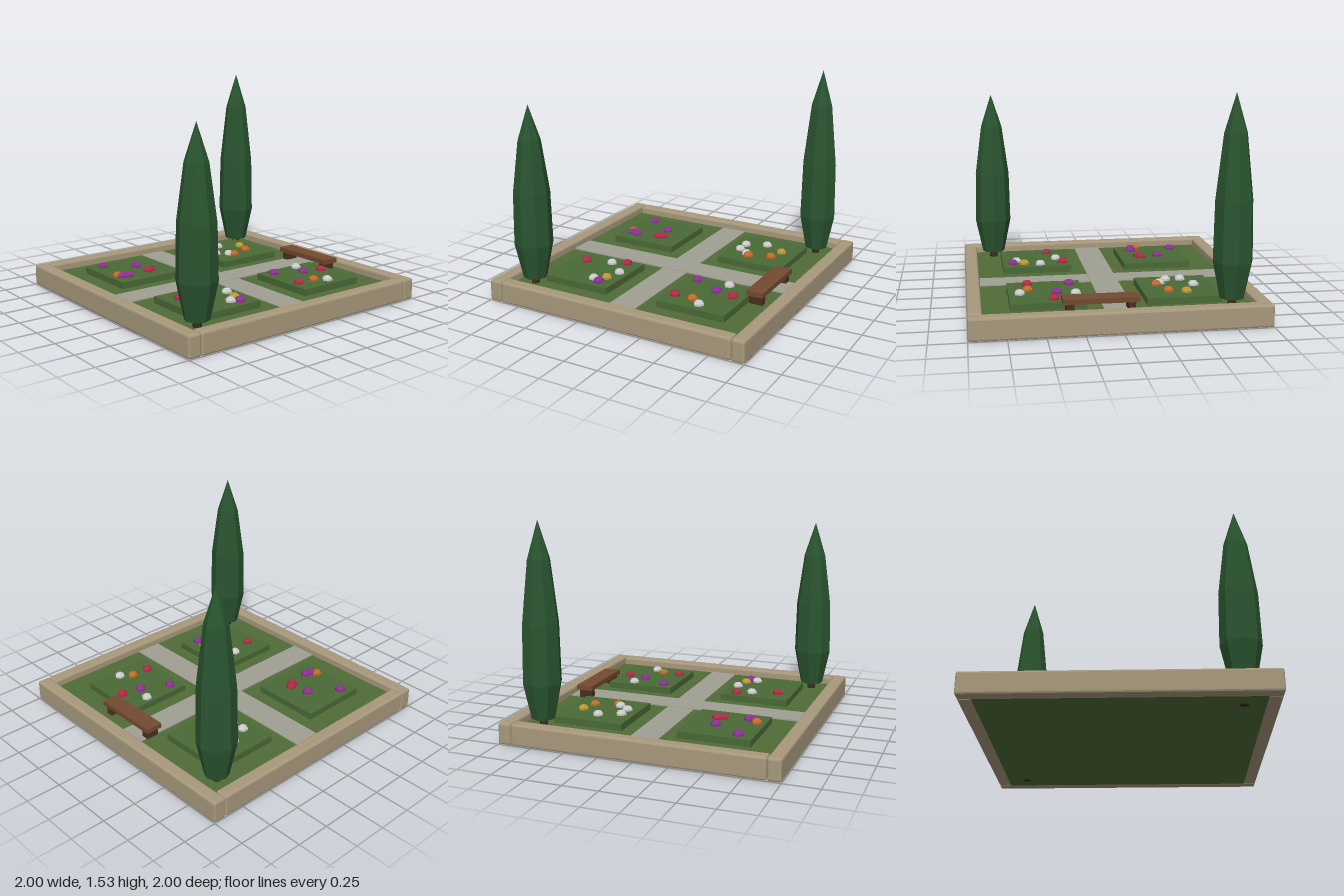
import * as THREE from 'three';
import { RoundedBoxGeometry } from 'three/addons/geometries/RoundedBoxGeometry.js';

const mat = (color) => new THREE.MeshStandardMaterial({ color, flatShading: true });
const stone = mat(0xa8997c), grass = mat(0x4f6c37), soil = mat(0x4a6936), paving = mat(0xa09f92);
const leaf = mat(0x2a5530), bark = mat(0x3e2a1c), wood = mat(0x734a30), darkWood = mat(0x4a2f1e);
const petals = {
  red: mat(0xb02a45), purple: mat(0x8c3092), white: mat(0xc4c4c4),
  orange: mat(0xc26a28), yellow: mat(0xb89a34),
};

function add(parent, name, geometry, material, x = 0, y = 0, z = 0) {
  const mesh = new THREE.Mesh(geometry, material);
  mesh.name = name;
  mesh.position.set(x, y, z);
  parent.add(mesh);
  return mesh;
}

// Box given by its bottom and top height
function slab(parent, name, material, x, z, w, d, y0, y1) {
  return add(parent, name, new THREE.BoxGeometry(w, y1 - y0, d), material, x, (y0 + y1) / 2, z);
}

// Eight-sided cypress; ring heights are given per tree
function cypress(name, x, z, [y1, y2, y3, tip]) {
  const tree = new THREE.Group();
  tree.name = name;
  tree.position.set(x, 0, z);
  const profile = [[0, 0.15], [0.085, 0.15], [0.138, y1], [0.13, y2], [0.08, y3], [0, tip]]
    .map(([r, y]) => new THREE.Vector2(r, y));
  add(tree, 'foliage', new THREE.LatheGeometry(profile, 8), leaf);
  add(tree, 'trunk', new THREE.CylinderGeometry(0.03, 0.03, 0.2, 8), bark, 0, 0.1, 0);
  return tree;
}

export function createModel() {
  const garden = new THREE.Group();
  garden.name = 'garden';

  // Ground and crossing paths
  slab(garden, 'lawn', grass, 0, 0, 1.82, 1.82, 0.003, 0.1);
  slab(garden, 'crossPath', paving, 0, 0, 1.8, 0.2, 0.09, 0.106);
  slab(garden, 'mainPath', paving, 0, 0, 0.2, 1.8, 0.09, 0.109);

  // Chamfered border walls
  for (const s of [-1, 1]) {
    add(garden, s > 0 ? 'frontWall' : 'backWall',
      new RoundedBoxGeometry(2, 0.155, 0.095, 1, 0.014), stone, 0, 0.0775, s * 0.9525);
    add(garden, s > 0 ? 'leftWall' : 'rightWall',
      new RoundedBoxGeometry(0.095, 0.155, 1.805, 1, 0.014), stone, s * 0.9525, 0.0775, 0);
  }

  // Raised beds
  for (const x of [-0.46, 0.46])
    for (const z of [-0.46, 0.46])
      slab(garden, 'flowerBed', soil, x, z, 0.515, 0.515, 0.095, 0.148);

  // Flowers, as x, z pairs by colour
  const flowers = {
    red: [0.42, -0.635, 0.575, -0.27, -0.365, 0.37, -0.345, 0.405, 0.26, 0.315, 0.355, 0.61],
    purple: [0.385, -0.49, 0.28, -0.29, -0.5, 0.405, -0.645, 0.61, -0.315, 0.585, -0.33, 0.635, 0.64, 0.315],
    white: [-0.585, -0.44, -0.355, -0.37, -0.52, -0.29, -0.415, -0.29, 0.26, -0.53, 0.64, -0.49,
      0.435, 0.27, 0.61, 0.375, 0.305, 0.42],
    orange: [-0.38, -0.56, -0.325, -0.4, 0.58, -0.41, -0.365, 0.655],
    yellow: [-0.5, -0.595, 0.555, 0.3],
  };
  const bloom = new THREE.SphereGeometry(0.04, 6, 5).rotateY(Math.PI / 6).scale(1, 0.8, 1);
  for (const [color, spots] of Object.entries(flowers))
    for (let i = 0; i < spots.length; i += 2)
      add(garden, color + 'Flower', bloom, petals[color], spots[i], 0.152, spots[i + 1]);

  // Bench
  const bench = new THREE.Group();
  bench.name = 'bench';
  slab(bench, 'benchSeat', wood, 0.125, -0.775, 0.51, 0.125, 0.165, 0.2);
  for (const x of [-0.08, 0.33]) slab(bench, 'benchLeg', darkWood, x, -0.775, 0.05, 0.1, 0.1, 0.165);
  garden.add(bench);

  // Corner trees
  garden.add(cypress('tallTree', -0.77, -0.77, [0.405, 0.82, 1.265, 1.53]));
  garden.add(cypress('shortTree', 0.77, 0.77, [0.405, 0.78, 1.155, 1.405]));
  return garden;
}
